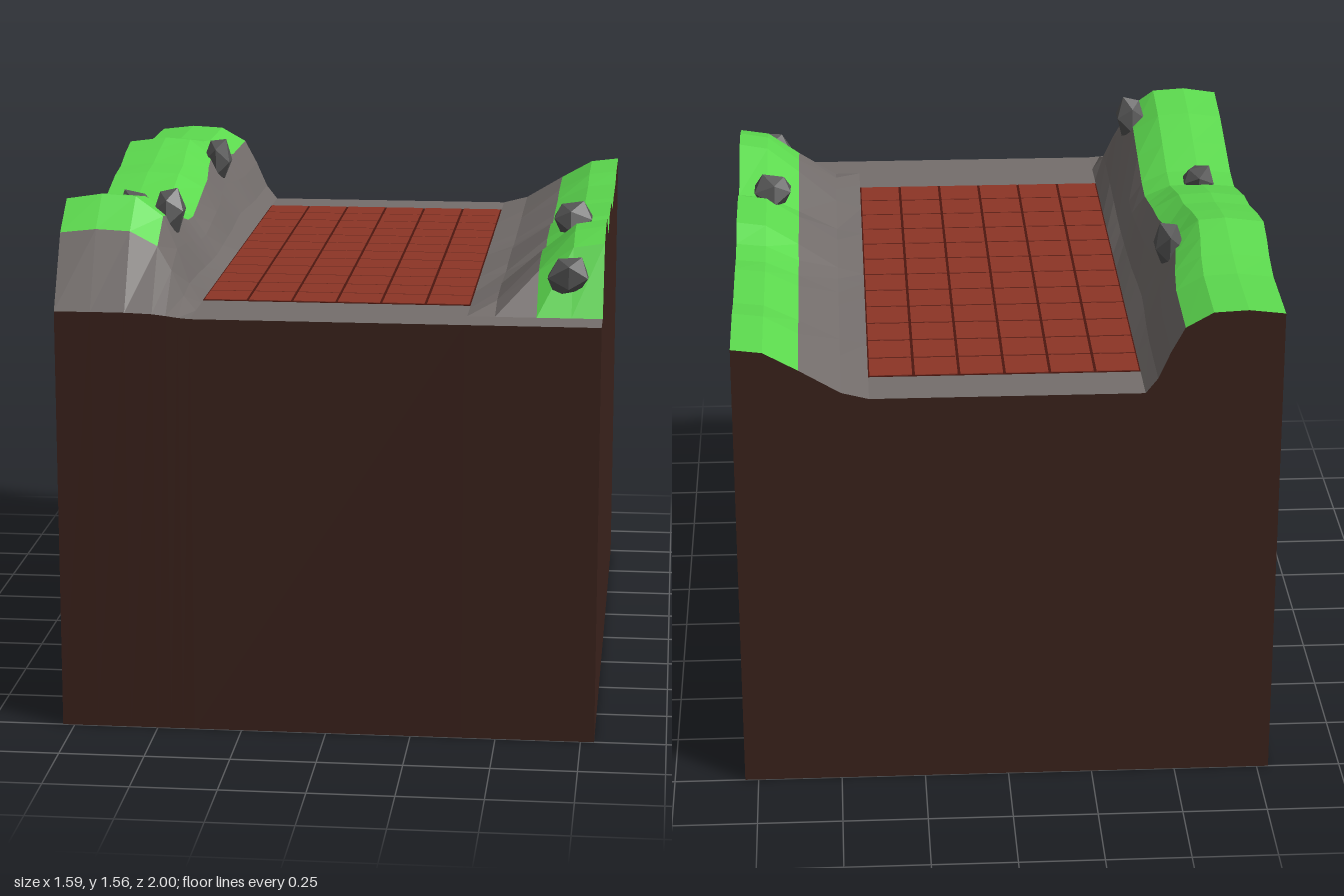
import * as THREE from 'three';

const FLOOR = 1.24;
const mat = (color) => new THREE.MeshStandardMaterial({ color, flatShading: true });

// surface through rows of points: columns run to the right, rows run away
function sheet(rows) {
  const n = rows[0].length, index = [];
  for (let i = 0; i < rows.length - 1; i++) {
    for (let j = 0; j < n - 1; j++) {
      const a = i * n + j, b = a + 1, c = b + n, d = a + n;
      index.push(a, b, c, a, c, d);
    }
  }
  const g = new THREE.BufferGeometry();
  g.setAttribute('position', new THREE.Float32BufferAttribute(rows.flat(2), 3));
  g.setIndex(index);
  const flat = g.toNonIndexed();
  flat.computeVertexNormals();
  return flat;
}

// ridge heights [z, y] from front to back
const leftRidge = [[1, 1.255], [0.88, 1.475], [0.77, 1.56], [0.6, 1.53], [0.45, 1.485], [0.3, 1.44], [0.2, 1.43],
  [0.08, 1.46], [-0.04, 1.49], [-0.15, 1.5], [-0.28, 1.525], [-0.4, 1.543], [-0.5, 1.525], [-0.6, 1.505], [-0.72, 1.49], [-1, 1.49]];
const rightRidge = [[1, 1.24], [0.88, 1.24], [0.77, 1.44], [0.65, 1.47], [0.54, 1.47], [0.31, 1.38], [0.2, 1.42],
  [-0.04, 1.42], [-0.12, 1.38], [-0.23, 1.37], [-0.33, 1.38], [-0.6, 1.38], [-0.73, 1.4], [-1, 1.4]];

// bank cross-sections [x, share of the ridge height, sideways bulge]
const leftSection = [[-0.785, 0.95, -0.012], [-0.68, 1, 0], [-0.58, 0.98, -0.02], [-0.5, 0.8, -0.03],
  [-0.46, 0.5, -0.025], [-0.425, 0.18, -0.01], [-0.39, 0, 0]];
const rightSection = [[0.4, 0, 0], [0.48, 0.13, 0], [0.6, 0.58, 0], [0.7, 0.93, 0], [0.79, 1, 0]];

const bank = (ridge, section) => ridge.map(([z, y]) => section.map(([x, share, bulge]) =>
  [x + bulge * Math.exp(-(((z + 0.4) / 0.2) ** 2)), FLOOR + (y - FLOOR) * share, z]));
const columns = (rows, from, to) => rows.map((r) => r.slice(from, to));

// irregular faceted boulder
function boulder(size, seed) {
  const g = new THREE.IcosahedronGeometry(0.5, 0);
  const p = g.attributes.position;
  const v = new THREE.Vector3();
  for (let i = 0; i < p.count; i++) {
    v.fromBufferAttribute(p, i);
    const h = Math.sin(Math.round(v.x * 50) * 12.9 + Math.round(v.y * 50) * 78.2 + Math.round(v.z * 50) * 37.7 + seed);
    v.multiplyScalar(1.03 + 0.17 * h);
    p.setXYZ(i, v.x * size[0], v.y * size[1], v.z * size[2]);
  }
  g.computeVertexNormals();
  return g;
}

export function createModel() {
  const model = new THREE.Group();
  const grass = mat(0x5cd94e), stone = mat(0x746e6c), soil = mat(0x3a221b);
  const clay = mat(0x8c3526), groove = mat(0x4d170f), rock = mat(0x565656);
  const add = (name, geometry, material, parent = model) => {
    const mesh = new THREE.Mesh(geometry, material);
    mesh.name = name;
    parent.add(mesh);
    return mesh;
  };

  // banks: grassy crowns with bare slopes facing the court
  const left = bank(leftRidge, leftSection);
  const right = bank(rightRidge, rightSection);
  add('leftGrass', sheet(columns(left.slice(1), 0, 4)), grass);
  add('leftSlope', sheet(columns(left, 3, 7)), stone);
  add('leftFrontSlope', sheet(columns(left.slice(0, 2), 0, 4)), stone);
  add('rightGrass', sheet(columns(right.slice(1), 2, 5)), grass);
  add('rightSlope', sheet(columns(right, 0, 3)), stone);
  add('rightFrontLedge', sheet(columns(right.slice(0, 2), 2, 5)), stone);

  // level ground between the banks
  add('ground', sheet([1, -1].map((z) => [[-0.39, FLOOR, z], [0.4, FLOOR, z]])), stone);

  // soil walls under the rim of the terrain, and the underside
  const last = (a) => a[a.length - 1];
  const rim = [
    ...left[0], ...right[0],
    ...right.map(last),
    ...[...last(left), ...last(right)].reverse(),
    ...left.map((r) => r[0]).reverse(),
  ];
  const foot = rim.map(([x, , z]) => [x < -0.78 ? -0.785 : x, 0, z]);
  add('soilWalls', sheet([foot, rim]), soil);
  add('soilBase', sheet([-1, 1].map((z) => [[-0.785, 0, z], [0.79, 0, z]])), soil);

  // paved court: dark joints with a grid of tiles
  const court = new THREE.Group();
  court.name = 'court';
  model.add(court);
  const x0 = -0.39, z0 = -0.845, w = 0.79 / 6, d = 1.58 / 12;
  add('joints', new THREE.BoxGeometry(0.79, 0.004, 1.58), groove, court).position.set(0.005, FLOOR, -0.055);
  const tile = new THREE.BoxGeometry(w - 0.008, 0.005, d - 0.008);
  for (let i = 0; i < 6; i++) {
    for (let j = 0; j < 12; j++) {
      add('tile', tile, clay, court).position.set(x0 + (i + 0.5) * w, FLOOR + 0.0015, z0 + (j + 0.5) * d);
    }
  }

  // scattered boulders [position, size]
  [
    [[-0.5, 1.5, 0.675], [0.1, 0.14, 0.1]],
    [[-0.51, 1.465, -0.42], [0.09, 0.15, 0.12]],
    [[-0.67, 1.43, 0.235], [0.12, 0.1, 0.14]],
    [[0.675, 1.42, 0.25], [0.13, 0.11, 0.12]],
    [[0.69, 1.35, 0.825], [0.12, 0.12, 0.085]],
  ].forEach(([position, size], i) => {
    add('boulder', boulder(size, i * 2.1), rock).position.set(...position);
  });

  return model;
}
